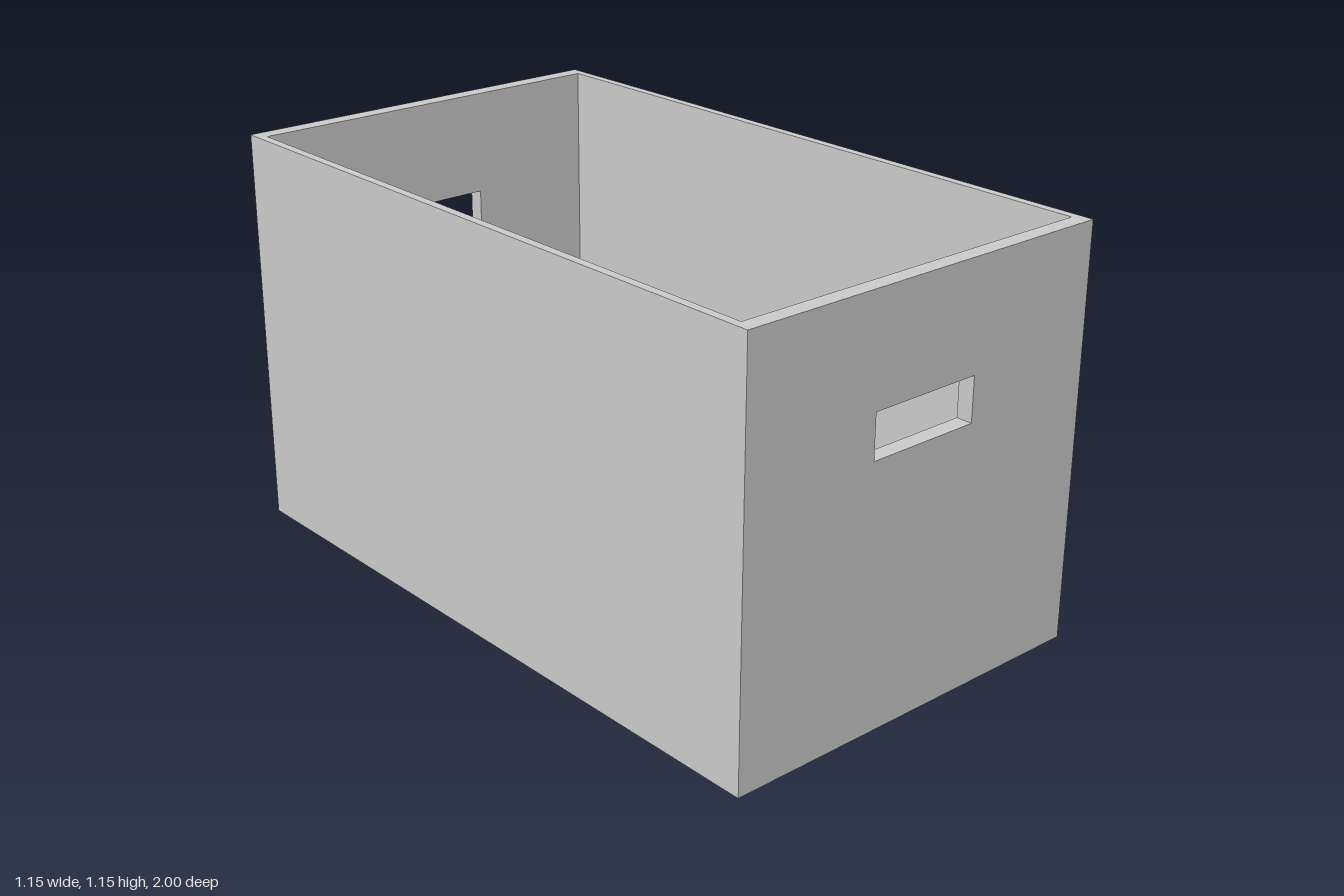
import * as THREE from 'three';

const W = 1.154, H = 1.154, D = 2; // outer size
const SIDE = 0.025, END = 0.046, FLOOR = 0.03; // board thicknesses
const HOLE = { w: 0.336, bottom: 0.73, top: 0.853 };

const material = new THREE.MeshStandardMaterial({ color: 0xcccccc, flatShading: true });

const points = (list) => list.map(([x, y]) => new THREE.Vector2(x, y));

function extrude(name, shape, depth, z) {
  const geometry = new THREE.ExtrudeGeometry(shape, { depth, bevelEnabled: false });
  const mesh = new THREE.Mesh(geometry, material);
  mesh.name = name;
  mesh.position.z = z;
  return mesh;
}

export function createModel() {
  const crate = new THREE.Group();
  crate.name = 'storageCrate';
  const x = W / 2, xi = x - SIDE, h = HOLE.w / 2;

  // Floor and both long side walls as one U-shaped section
  const trough = new THREE.Shape(points([
    [-x, 0], [x, 0], [x, H], [xi, H], [xi, FLOOR], [-xi, FLOOR], [-xi, H], [-x, H],
  ]));
  crate.add(extrude('floorAndSideWalls', trough, D - 2 * END, -D / 2 + END));

  // End walls, each with a rectangular hand hole
  const end = new THREE.Shape(points([[-x, 0], [x, 0], [x, H], [-x, H]]));
  end.holes.push(new THREE.Path(points([
    [-h, HOLE.bottom], [-h, HOLE.top], [h, HOLE.top], [h, HOLE.bottom],
  ])));
  crate.add(extrude('frontWall', end, END, D / 2 - END));
  crate.add(extrude('backWall', end, END, -D / 2));

  return crate;
}
